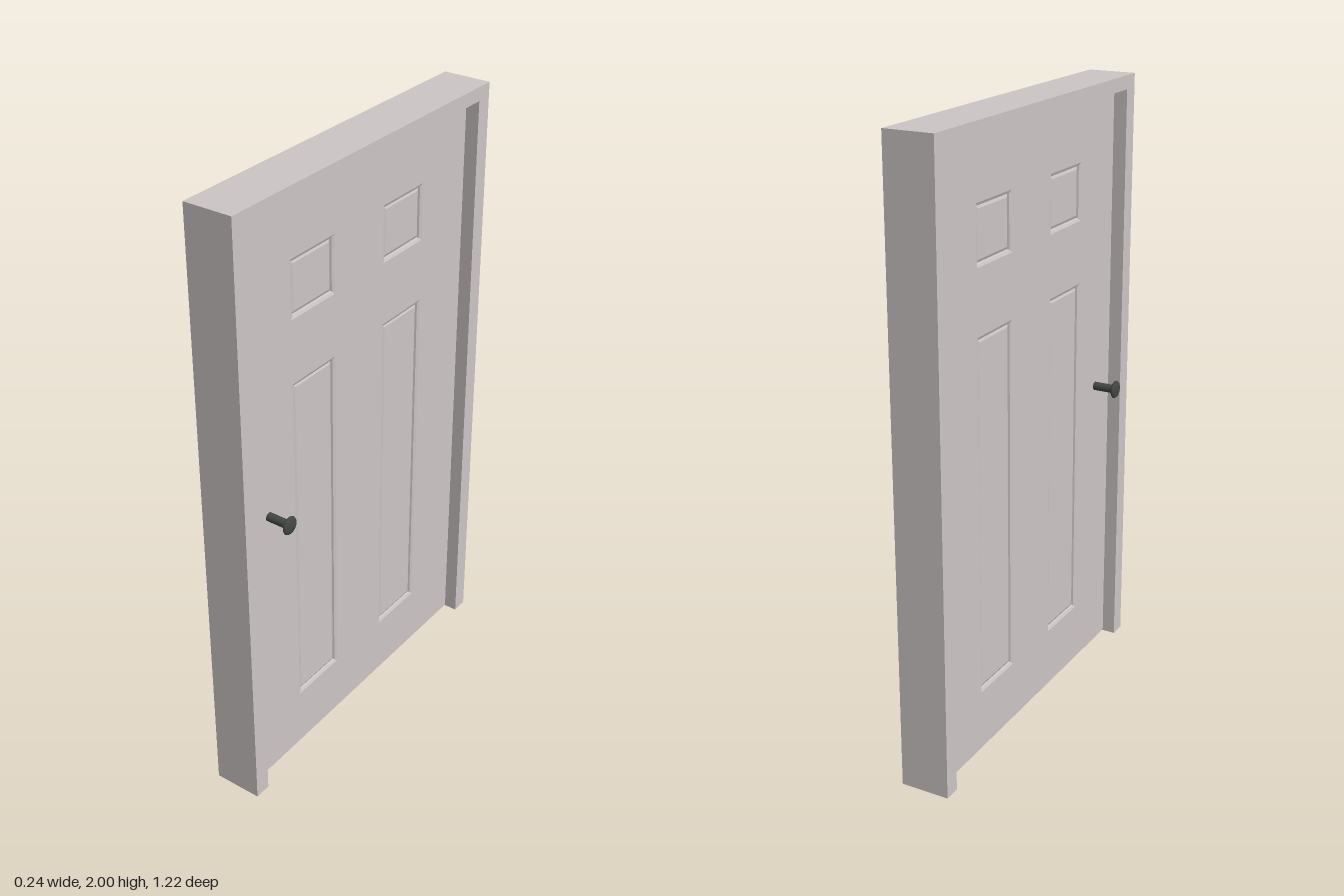
import * as THREE from 'three';

const LEAF = 0.035; // half thickness of the door leaf
const PANELS = [-1, 1].flatMap((s) => [
  { x: s * 0.223, y: 1.665, w: 0.204, h: 0.186 },
  { x: s * 0.223, y: 0.785, w: 0.204, h: 1.164 },
]);

const rectPoints = (x, y, w, h) => [
  [x - w / 2, y - h / 2], [x + w / 2, y - h / 2], [x + w / 2, y + h / 2], [x - w / 2, y + h / 2],
].map(([a, b]) => new THREE.Vector2(a, b));

// Extrudes an outline drawn in the door plane, centred across the thickness (x)
function slab(shape, thickness) {
  const g = new THREE.ExtrudeGeometry(shape, { depth: thickness, bevelEnabled: false });
  return g.translate(0, 0, -thickness / 2).rotateY(Math.PI / 2);
}

// Recessed moulding around a slightly raised centre field, facing +z
function panelGeometry({ x, y, w, h }) {
  const steps = [[0, 0], [0.009, -0.004], [0.011, -0.01], [0.02, -0.006]]; // inset, depth
  const loops = steps.map(([inset, d]) =>
    rectPoints(x, y, w - 2 * inset, h - 2 * inset).map((p) => [p.x, p.y, d]));
  const pos = [];
  const quad = (a, b, c, d) => pos.push(...a, ...b, ...c, ...a, ...c, ...d);
  for (let i = 0; i < loops.length - 1; i++) {
    for (let k = 0; k < 4; k++) {
      const n = (k + 1) % 4;
      quad(loops[i][k], loops[i][n], loops[i + 1][n], loops[i + 1][k]);
    }
  }
  quad(...loops[loops.length - 1]);
  const g = new THREE.BufferGeometry();
  g.setAttribute('position', new THREE.Float32BufferAttribute(pos, 3));
  g.computeVertexNormals();
  return g;
}

export function createModel() {
  const paint = new THREE.MeshStandardMaterial({ color: 0xcbc4c4 });
  paint.name = 'warm grey paint';
  const metal = new THREE.MeshStandardMaterial({ color: 0x444744 });
  metal.name = 'dark metal';

  const model = new THREE.Group();
  model.name = 'door';
  const add = (parent, name, geometry, material) => {
    const mesh = new THREE.Mesh(geometry, material);
    mesh.name = name;
    parent.add(mesh);
    return mesh;
  };

  // Frame: two jambs joined by the head, open at the floor
  const frame = new THREE.Shape([
    [-0.61, 0], [-0.555, 0], [-0.555, 1.955], [0.555, 1.955],
    [0.555, 0], [0.61, 0], [0.61, 2], [-0.61, 2],
  ].map(([a, b]) => new THREE.Vector2(a, b)));
  add(model, 'frame', slab(frame, 0.16), paint);

  // Leaf with openings for the panels
  const leaf = new THREE.Shape(rectPoints(0, 0.979, 1.11, 1.952));
  PANELS.forEach((p) => leaf.holes.push(new THREE.Path(rectPoints(p.x, p.y, p.w, p.h))));
  add(model, 'leaf', slab(leaf, LEAF * 2), paint);

  for (const side of [1, -1]) {
    const label = side > 0 ? 'left' : 'right';

    // Moulded panels
    const panels = new THREE.Group();
    panels.name = `${label}Panels`;
    panels.rotation.y = side * Math.PI / 2;
    PANELS.forEach((p) => {
      add(panels, 'panel', panelGeometry(p).translate(0, 0, LEAF), paint);
    });
    model.add(panels);

    // Knob: round stem and a flattened, domed grip, turned as one profile
    const profile = [
      [0.014, 0.03], [0.014, 0.099], [0.02, 0.104], [0.027, 0.107],
      [0.03, 0.111], [0.027, 0.116], [0.015, 0.119], [0, 0.12],
    ].map(([r, t]) => new THREE.Vector2(r, t));
    const knob = add(model, `${label}Knob`, new THREE.LatheGeometry(profile, 20), metal);
    knob.rotation.z = -side * Math.PI / 2;
    knob.position.set(0, 0.98, 0.45);
  }
  return model;
}
